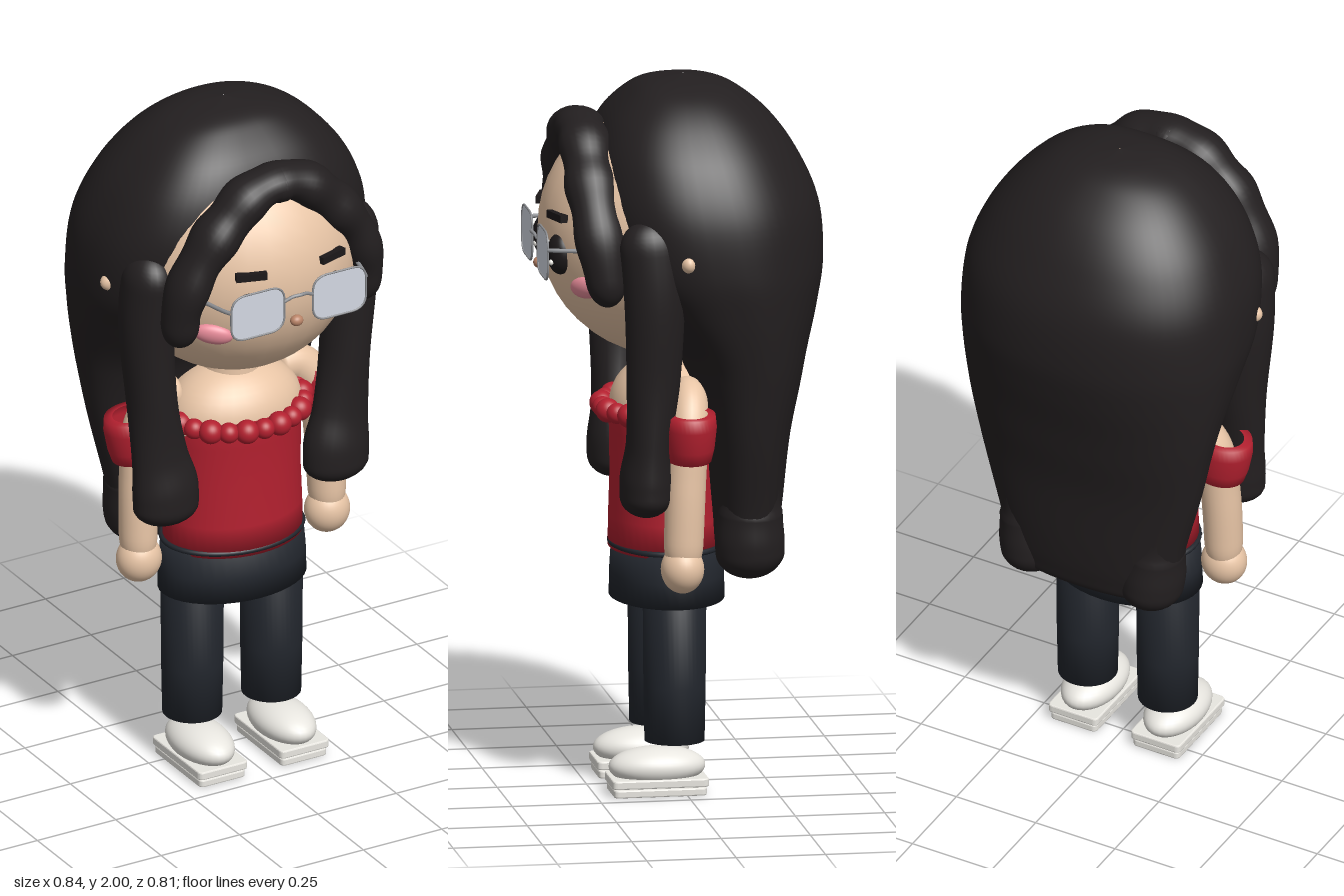
import * as THREE from 'three';

const V = (x, y, z) => new THREE.Vector3(x, y, z);
const mat = (color, side = THREE.FrontSide) => new THREE.MeshStandardMaterial({ color, side, roughness: 0.8 });

// Skin a list of closed rings (each an array of Vector3) into a smooth surface.
function loft(rings) {
  const n = rings[0].length, pos = [], idx = [];
  rings.forEach(r => r.forEach(p => pos.push(p.x, p.y, p.z)));
  for (let i = 0; i < rings.length - 1; i++) {
    for (let j = 0; j < n; j++) {
      const k = (j + 1) % n, a = i * n + j, b = i * n + k, c = b + n, d = a + n;
      idx.push(a, b, d, b, c, d);
    }
  }
  const g = new THREE.BufferGeometry();
  g.setAttribute('position', new THREE.Float32BufferAttribute(pos, 3));
  g.setIndex(idx);
  g.computeVertexNormals();
  return g;
}

// Round-ended strand along knots [x, y, z, halfWidth, halfDepth].
function strand(knots, wave = 0) {
  const path = new THREE.CatmullRomCurve3(knots.map(k => V(k[0], k[1], k[2])));
  const size = new THREE.CatmullRomCurve3(knots.map(k => V(k[3], k[4], 0)));
  const rings = [], steps = 56, len = path.getLength();
  for (let i = 0; i <= steps; i++) {
    const t = (1 - Math.cos(Math.PI * i / steps)) / 2;
    const p = path.getPoint(t), s = size.getPoint(t), tan = path.getTangent(t);
    const side = V(0, 0, 1).cross(tan).normalize();
    const deep = tan.clone().cross(side);
    const q = Math.min(1, Math.min(t, 1 - t) * len / s.x);
    const cap = Math.max(0.01, Math.sqrt(1 - (1 - q) ** 2)) * (1 + wave * Math.sin(t * 26));
    rings.push(Array.from({ length: 24 }, (_, j) => {
      const a = j / 24 * Math.PI * 2;
      return p.clone().addScaledVector(side, Math.cos(a) * s.x * cap)
        .addScaledVector(deep, Math.sin(a) * s.y * cap);
    }));
  }
  return loft(rings);
}

// Main hair mass from rows [y, halfWidth, zFront, zBack], top to bottom.
function hairShell(rows) {
  const A = new THREE.CatmullRomCurve3(rows.map(r => V(r[0], r[1], 0)), false, 'catmullrom');
  const B = new THREE.CatmullRomCurve3(rows.map(r => V(r[2], r[3], 0)), false, 'catmullrom');
  const rings = [];
  for (let i = 0; i <= 90; i++) {
    const a = A.getPoint(i / 90), b = B.getPoint(i / 90);
    const cz = (b.x + b.y) / 2, hz = (b.x - b.y) / 2;
    rings.push(Array.from({ length: 64 }, (_, j) => {
      const u = j / 64 * Math.PI * 2, c = Math.cos(u), s = Math.sin(u);
      const e = 2 / (s > 0 ? 2.6 : 2.15);
      return V(Math.sign(c) * Math.abs(c) ** e * a.y, a.x, cz + Math.sign(s) * Math.abs(s) ** e * hz);
    }));
  }
  return loft(rings);
}

const lathe = pts => new THREE.LatheGeometry(pts.map(p => new THREE.Vector2(p[0], p[1])), 40);

function roundedRect(w, h, r) {
  const s = new THREE.Shape(), x = w / 2, y = h / 2;
  s.moveTo(-x + r, -y).lineTo(x - r, -y).quadraticCurveTo(x, -y, x, -y + r);
  s.lineTo(x, y - r).quadraticCurveTo(x, y, x - r, y);
  s.lineTo(-x + r, y).quadraticCurveTo(-x, y, -x, y - r);
  s.lineTo(-x, -y + r).quadraticCurveTo(-x, -y, -x + r, -y);
  return s;
}

export function createModel() {
  const model = new THREE.Group();
  const hair = mat(0x231f20), skin = mat(0xe8c5a6), red = mat(0xb3202f, THREE.DoubleSide);
  const denim = mat(0x22262d, THREE.DoubleSide), white = mat(0xe8e6e0), pink = mat(0xe88c9a);
  const black = mat(0x1c1819), metal = mat(0x8c8e92), glass = mat(0xd3d8e2, THREE.DoubleSide);

  const add = (name, geo, m, p = [0, 0, 0], s = [1, 1, 1], r = [0, 0, 0]) => {
    const mesh = new THREE.Mesh(geo, m);
    mesh.name = name;
    mesh.position.set(...p);
    mesh.scale.set(...s);
    mesh.rotation.set(...r);
    model.add(mesh);
    return mesh;
  };
  const ball = new THREE.SphereGeometry(1, 32, 24);
  const tube = (pts, r, closed = false) =>
    new THREE.TubeGeometry(new THREE.CatmullRomCurve3(pts, closed), 40, r, 8, closed);

  // Head and hair
  add('head', ball, skin, [0, 1.57, 0.02], [0.355, 0.36, 0.362]);
  add('backHair', hairShell([
    [2, 0.002, -0.018, -0.022], [1.985, 0.11, 0.08, -0.115], [1.95, 0.2, 0.14, -0.185],
    [1.88, 0.285, 0.205, -0.265], [1.78, 0.36, 0.245, -0.335], [1.65, 0.41, 0.255, -0.39],
    [1.5, 0.42, 0.215, -0.402], [1.38, 0.405, 0.12, -0.385], [1.25, 0.38, 0.02, -0.355],
    [1.15, 0.36, -0.02, -0.335], [1, 0.33, -0.05, -0.305], [0.8, 0.28, -0.07, -0.285],
    [0.7, 0.265, -0.08, -0.27], [0.65, 0.235, -0.1, -0.25], [0.635, 0.002, -0.17, -0.18]]), hair);

  // Clothing profiles
  add('shoulders', ball, skin, [0, 1.06, 0.03], [0.205, 0.15, 0.155]);
  add('neck', new THREE.CylinderGeometry(0.08, 0.09, 0.16, 24), skin, [0, 1.2, 0.02]);
  add('top', lathe([[0.001, 0.67], [0.205, 0.67], [0.203, 0.76], [0.198, 0.88], [0.2, 1], [0.205, 1.08], [0.19, 1.085]]),
    red, [0, 0, 0.03], [1, 1, 0.77]);
  add('hips', lathe([[0.001, 0.53], [0.22, 0.53], [0.218, 0.6], [0.21, 0.69], [0.001, 0.69]]),
    denim, [0, 0, 0.026], [1, 1, 0.72]);
  add('waistband', new THREE.TorusGeometry(0.207, 0.008, 8, 48), denim, [0, 0.683, 0.026], [1, 0.76, 1], [Math.PI / 2, 0, 0]);
  for (let i = 0; i < 24; i++) {
    const a = i / 24 * Math.PI * 2, r = i % 2 ? 0.034 : 0.029;
    add('ruffle', ball, red, [0.2 * Math.cos(a), 1.075 - 0.01 * Math.sin(a), 0.03 + 0.175 * Math.sin(a)], [r, r, r]);
  }

  // Face centre
  add('nose', ball, mat(0xb98468), [0, 1.48, 0.383], [0.019, 0.016, 0.016]);
  add('glassesBridge', tube([V(-0.045, 1.555, 0.394), V(-0.02, 1.566, 0.4), V(0, 1.568, 0.404),
    V(0.02, 1.566, 0.4), V(0.045, 1.555, 0.394)], 0.005), metal);
  const lens = roundedRect(0.17, 0.135, 0.045);
  const rim = tube(lens.getSpacedPoints(32).slice(0, -1).map(p => V(p.x, p.y, 0)), 0.003, true);

  for (const s of [1, -1]) {
    // Curtain fringe, front lock and back hair tip
    add('fringe', strand([[-0.05 * s, 1.85, 0.265, 0.05, 0.06], [0.02 * s, 1.86, 0.27, 0.055, 0.07],
      [0.09 * s, 1.835, 0.27, 0.06, 0.07], [0.15 * s, 1.78, 0.27, 0.065, 0.072], [0.205 * s, 1.72, 0.268, 0.062, 0.072],
      [0.255 * s, 1.64, 0.262, 0.058, 0.07], [0.288 * s, 1.54, 0.25, 0.055, 0.065],
      [0.288 * s, 1.41, 0.235, 0.06, 0.055]], 0.06), hair);
    add('frontLock', strand([[0.32 * s, 1.66, 0.13, 0.07, 0.09], [0.325 * s, 1.45, 0.115, 0.075, 0.085],
      [0.308 * s, 1.2, 0.115, 0.07, 0.075], [0.288 * s, 1.02, 0.125, 0.082, 0.062],
      [0.272 * s, 0.91, 0.13, 0.098, 0.072], [0.272 * s, 0.81, 0.13, 0.095, 0.07]]), hair);
    add('hairTip', strand([[0.22 * s, 0.98, -0.18, 0.08, 0.09], [0.2 * s, 0.8, -0.175, 0.08, 0.09],
      [0.19 * s, 0.71, -0.175, 0.09, 0.097], [0.18 * s, 0.61, -0.18, 0.085, 0.092]]), hair);

    // Facial features
    add('ear', ball, skin, [0.378 * s, 1.545, 0.03], [0.042, 0.03, 0.025]);
    add('eye', ball, black, [0.127 * s, 1.53, 0.345], [0.045, 0.058, 0.034], [0, 0.35 * s, 0]);
    add('eyeHighlight', ball, white, [0.127 * s - 0.019, 1.555, 0.376], [0.012, 0.012, 0.008]);
    add('eyeGlint', ball, white, [0.127 * s + 0.019, 1.51, 0.374], [0.008, 0.008, 0.007]);
    add('eyebrow', new THREE.BoxGeometry(0.088, 0.021, 0.022), black, [0.128 * s, 1.636, 0.354], [1, 1, 1], [0, 0.3 * s, 0]);
    add('cheek', ball, pink, [0.212 * s, 1.45, 0.288], [0.056, 0.031, 0.022], [0.25, 0.62 * s, 0]);

    // Glasses
    add('lens', new THREE.ShapeGeometry(lens, 10), glass, [0.13 * s, 1.537, 0.394]);
    add('lensRim', rim, metal, [0.13 * s, 1.537, 0.394]);
    add('glassesArm', tube([V(0.215 * s, 1.56, 0.394), V(0.225 * s, 1.56, 0.37), V(0.25 * s, 1.56, 0.27)], 0.006), metal);

    // Arm, hand and puffed sleeve
    add('arm', strand([[0.15 * s, 1.13, 0, 0.05, 0.045], [0.22 * s, 1.125, 0, 0.055, 0.05], [0.275 * s, 1.06, 0.01, 0.055, 0.055],
      [0.295 * s, 0.9, 0.022, 0.055, 0.056], [0.302 * s, 0.64, 0.032, 0.052, 0.054]]), skin);
    add('hand', ball, skin, [0.3 * s, 0.665, 0.032], [0.065, 0.068, 0.06]);
    add('sleeve', lathe([[0.056, -0.066], [0.07, -0.067], [0.079, -0.03], [0.085, 0.03], [0.08, 0.066], [0.056, 0.067]]),
      red, [0.305 * s, 1.04, 0.013], [1, 1, 0.88], [0, 0, -0.1 * s]);

    // Leg and shoe
    add('trouserLeg', lathe([[0.001, 0.15], [0.083, 0.145], [0.086, 0.3], [0.088, 0.56], [0.001, 0.58]]), denim, [0.126 * s, 0, 0.025]);
    add('shoe', ball, white, [0.13 * s, 0.075, 0.075], [0.08, 0.055, 0.135]);
    const sole = (w, d, h) => new THREE.ExtrudeGeometry(roundedRect(w, d, 0.012),
      { depth: h, bevelSize: 0.004, bevelThickness: 0.004, bevelSegments: 2 });
    add('soleUpper', sole(0.148, 0.262, 0.016), white, [0.13 * s, 0.045, 0.075], [1, 1, 1], [Math.PI / 2, 0, 0]);
    add('soleLower', sole(0.138, 0.252, 0.014), white, [0.13 * s, 0.018, 0.075], [1, 1, 1], [Math.PI / 2, 0, 0]);
  }
  return model;
}
